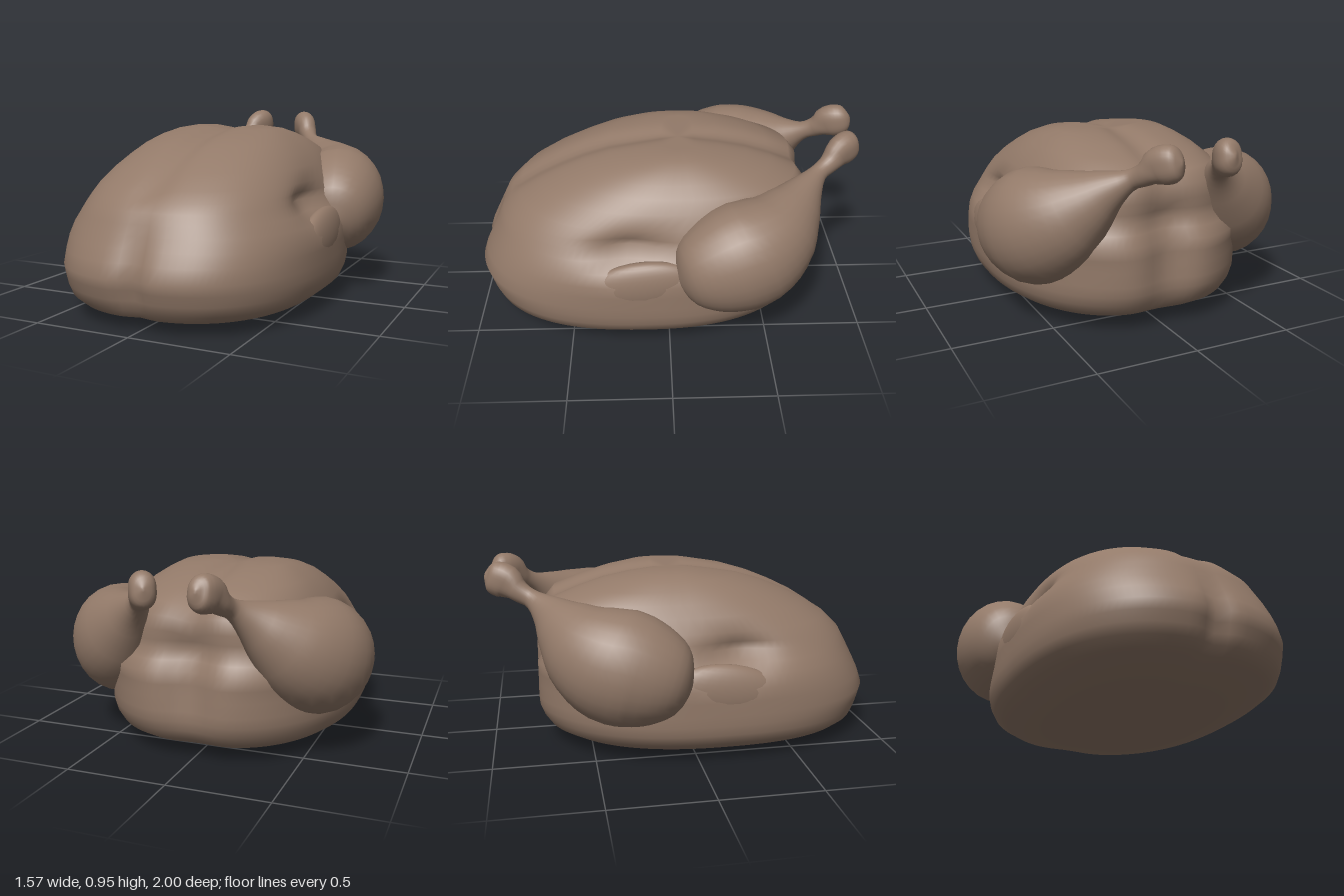
import * as THREE from 'three';

// Joins rings of points into a smooth closed skin, with a pole at each end.
function skin(rings, startPole, endPole) {
  const n = rings[0].length;
  const pts = rings.flat();
  const index = [];
  for (let i = 0; i < rings.length - 1; i++) {
    for (let j = 0; j < n; j++) {
      const a = i * n + j, b = i * n + (j + 1) % n;
      index.push(a, a + n, b, b, a + n, b + n);
    }
  }
  const s = pts.push(startPole) - 1, e = pts.push(endPole) - 1;
  const last = (rings.length - 1) * n;
  for (let j = 0; j < n; j++) {
    const k = (j + 1) % n;
    index.push(s, j, k, e, last + k, last + j);
  }
  const g = new THREE.BufferGeometry().setFromPoints(pts);
  g.setIndex(index);
  g.computeVertexNormals();
  return g;
}

const bump = (v, w) => Math.exp(-((v / w) ** 2));
const power = (v, p) => Math.sign(v) * Math.abs(v) ** p;

// Plump body: stacked rounded outlines with creases and shoulder hollows.
function bodyGeometry() {
  // height, half width, front z, back z
  const layers = [
    [0.005, 0.40, 0.67, -0.40], [0.02, 0.46, 0.78, -0.52], [0.06, 0.58, 0.91, -0.66],
    [0.10, 0.63, 0.955, -0.73], [0.15, 0.65, 0.975, -0.765], [0.20, 0.657, 0.99, -0.785],
    [0.25, 0.657, 1.005, -0.79], [0.32, 0.657, 0.98, -0.79], [0.38, 0.655, 0.95, -0.79],
    [0.44, 0.637, 0.92, -0.785], [0.49, 0.605, 0.895, -0.75], [0.54, 0.575, 0.87, -0.73],
    [0.58, 0.56, 0.83, -0.73], [0.63, 0.535, 0.78, -0.735], [0.70, 0.495, 0.67, -0.73],
    [0.76, 0.45, 0.55, -0.68], [0.81, 0.40, 0.43, -0.55], [0.85, 0.34, 0.30, -0.42],
    [0.877, 0.285, 0.14, -0.28], [0.893, 0.19, 0.03, -0.15],
  ];
  const n = 120;
  const rings = layers.map(([y, w, front, back]) => {
    const c = (front + back) / 2;
    return Array.from({ length: n }, (_, j) => {
      const a = j / n * Math.PI * 2;
      // the lower rear corners are rounder
      const p = Math.sin(a) < 0 && y < 0.4 ? 0.87 : 0.8;
      let x = w * power(Math.cos(a), p);
      const s = power(Math.sin(a), p);
      let z = c + s * (front - c);
      // centre creases at front and back
      if (s > 0) z -= 0.045 * bump(y - 0.22, 0.2) * s * bump(x, 0.06);
      else z -= 0.075 * bump(y - 0.4, 0.35) * s * bump(x, 0.13);
      // hollow above each folded wing
      x -= Math.sign(x) * 0.085 * bump(y - 0.53, 0.07) * bump(z - 0.2, 0.17);
      // shallow groove along the breastbone
      const py = y - (y > 0.6 ? 0.025 * bump(x, 0.07) : 0);
      return new THREE.Vector3(x, py, z);
    });
  });
  return skin(rings, new THREE.Vector3(0, 0, 0.1), new THREE.Vector3(0, 0.868, -0.06));
}

// Drumstick: rings swept from the thigh to the knuckle of the bone.
function legGeometry(side, tip) {
  // x, y, z, radius
  const stations = [
    [0.60, 0.385, -0.03, 0.01], [0.59, 0.40, -0.08, 0.14], [0.57, 0.43, -0.17, 0.215],
    [0.54, 0.465, -0.29, 0.258], [0.51, 0.50, -0.41, 0.264], [0.455, 0.56, -0.52, 0.23],
    [0.38, 0.635, -0.61, 0.165], [0.30, 0.71, -0.69, 0.093], [0.23, 0.765, -0.76, 0.047],
    [0.19, 0.80, -0.82, 0.05], [0.15, 0.845, -0.875, 0.07], [0.12, 0.86, -0.92, 0.072],
    [0.10, 0.87, -0.955, 0.056], [0.09, 0.875, -0.975, 0.01],
  ];
  const centres = stations.map(([x, y, z], i) => {
    const k = Math.max(0, (i - 7) / 6);
    return new THREE.Vector3(side * (x + tip.x * k), y + tip.y * k, z + tip.z * k);
  });
  const path = new THREE.CatmullRomCurve3(centres, false, 'catmullrom');
  const radii = new THREE.CatmullRomCurve3(
    stations.map((p) => new THREE.Vector3(p[3], 0, 0)), false, 'catmullrom');
  const up = new THREE.Vector3(0, 1, 0);
  const steps = 39, n = 28;
  const rings = Array.from({ length: steps + 1 }, (_, i) => {
    const t = i / steps, p = path.getPoint(t), r = Math.max(0.005, radii.getPoint(t).x);
    const dir = path.getTangent(t);
    const across = up.clone().cross(dir).normalize();
    const over = across.clone().cross(dir);
    return Array.from({ length: n }, (_, j) => {
      const a = j / n * Math.PI * 2;
      // taller than wide, most of all at the knuckle
      const q = r * (1.02 - (t > 0.72 ? 0.18 : 0.05) * Math.cos(2 * a));
      return p.clone().addScaledVector(across, q * Math.cos(a)).addScaledVector(over, q * Math.sin(a));
    });
  });
  return skin(rings, path.getPoint(0), path.getPoint(1));
}

export function createModel() {
  const group = new THREE.Group();
  const roast = new THREE.MeshStandardMaterial({ color: 0x937a69 });
  roast.name = 'roastedSkin';
  const add = (name, geometry) => {
    const mesh = new THREE.Mesh(geometry, roast);
    mesh.name = name;
    group.add(mesh);
    return mesh;
  };

  add('body', bodyGeometry());
  add('leftLeg', legGeometry(1, new THREE.Vector3(0, 0, 0)));
  add('rightLeg', legGeometry(-1, new THREE.Vector3(0.07, 0.01, -0.022)));

  // Folded wings lying against the sides
  for (const side of [1, -1]) {
    const wing = add(side > 0 ? 'leftWing' : 'rightWing', new THREE.SphereGeometry(1, 28, 18));
    wing.scale.set(0.065, 0.14, 0.28);
    wing.position.set(side * 0.595, 0.355, 0.13);
    wing.rotation.x = 0.12;
  }
  return group;
}
